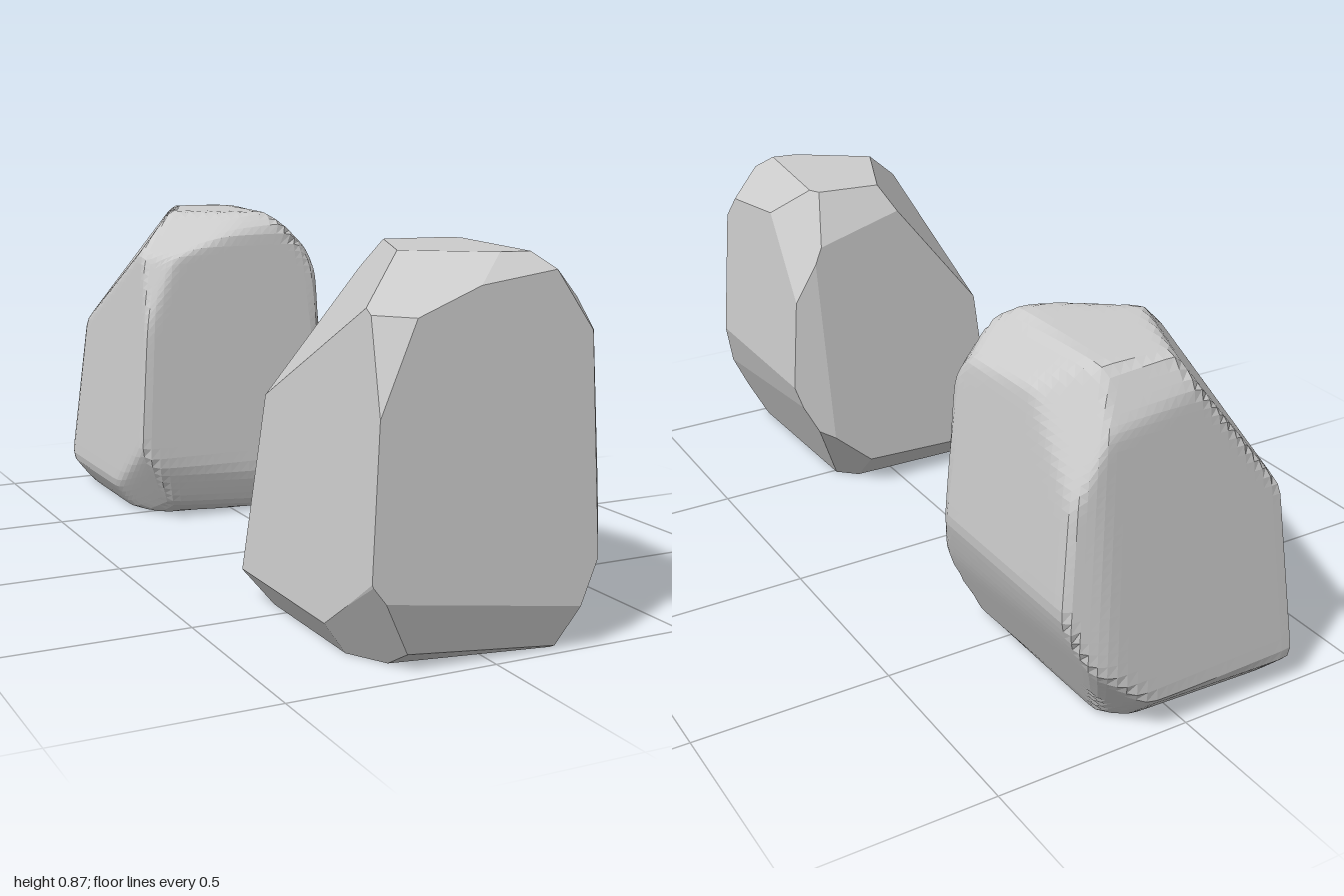
import * as THREE from 'three';
import { ConvexGeometry } from 'three/addons/geometries/ConvexGeometry.js';

const CENTRE = new THREE.Vector3(0, 0.42, 0.68);

// A flat cut: the rock keeps the side where nx*x + ny*y + nz*z <= d
const cut = ([nx, ny, nz, d]) => new THREE.Plane(new THREE.Vector3(nx, ny, nz), -d).normalize();

// Bottom, top, front, back, right side, and the left side in three bands
const sides = [
  [0, -1, 0, 0],
  [0, 1, 0, 0.87],
  [0, 0.096, 1, 1.01],
  [-0.014, 0.105, -1, -0.349],
  [-1, 0.098, 0, 0.32],
  [1, 0.099, 0, 0.344],
  [1, -0.311, 0, 0.203],
  [1, -0.489, -0.024, 0.143],
];

// Upright corners
const corners = [
  [1, 0.072, 0.781, 1.053],
  [0.313, 0.095, -1, -0.282],
  [-0.78, 0.47, 1, 1.423],
];

// Slopes around the top
const topSlopes = [
  [1, 1.2, 0.125, 1.294],
  [1, 0.53, -0.447, 0.407],
  [0.12, 0.62, -1, 0.059],
  [-1, 0.835, -0.423, 0.523],
  [-0.36, 1, 0.5, 1.28],
  [-0.12, 1, 0.82, 1.575],
  [1, 0.735, 0.765, 1.501],
];

// Slopes around the bottom
const bottomSlopes = [
  [-0.056, -0.287, 1, 0.96],
  [-0.11, -1, 0.62, 0.577],
  [-1, -0.69, 0, 0.26],
  [-1, -0.35, 0.336, 0.556],
  [-1, -0.69, 0.565, 0.712],
  [0.034, -0.966, -1, -0.44],
  [0.92, -0.97, -1, -0.348],
];

// Clean rock: its corners are where three cuts meet inside all the others
function cleanRock(cuts) {
  const found = new Map();
  const m = new THREE.Matrix3();
  cuts.forEach((a, i) => {
    for (let j = i + 1; j < cuts.length; j++)
      for (let k = j + 1; k < cuts.length; k++) {
        const b = cuts[j];
        const c = cuts[k];
        m.set(...a.normal.toArray(), ...b.normal.toArray(), ...c.normal.toArray());
        if (Math.abs(m.determinant()) < 1e-5) continue;
        const p = new THREE.Vector3(-a.constant, -b.constant, -c.constant).applyMatrix3(m.invert());
        if (cuts.every((q) => q.distanceToPoint(p) < 1e-5))
          found.set(p.toArray().map((v) => Math.round(v * 400)).join(), p);
      }
  });
  return new ConvexGeometry([...found.values()]);
}

// Worn rock: a block grid pushed out to the cuts, with softened, chipped edges
function wornRock(cuts) {
  const geometry = new THREE.BoxGeometry(0.6, 0.87, 0.62, 22, 30, 22);
  const pos = geometry.attributes.position;
  const depths = cuts.map((q) => -q.distanceToPoint(CENTRE));
  const p = new THREE.Vector3();
  for (let i = 0; i < pos.count; i++) {
    p.fromBufferAttribute(pos, i);
    let sum = 0;
    cuts.forEach((q, k) => {
      sum += Math.max(0, q.normal.dot(p) / depths[k]) ** 90;
    });
    p.multiplyScalar(sum ** (-1 / 90)).add(CENTRE);
    pos.setXYZ(i, p.x, p.y, p.z);
  }
  geometry.computeVertexNormals();
  return geometry;
}

export function createModel() {
  const group = new THREE.Group();
  group.name = 'rocks';
  const material = new THREE.MeshStandardMaterial({ color: 0xcccccc, flatShading: true });
  const cuts = [...sides, ...corners, ...topSlopes, ...bottomSlopes].map(cut);

  const front = new THREE.Mesh(cleanRock(cuts), material);
  front.name = 'cleanRock';

  const back = new THREE.Mesh(wornRock(cuts), material);
  back.name = 'wornRock';
  back.position.z = -1.357;

  group.add(front, back);
  return group;
}
